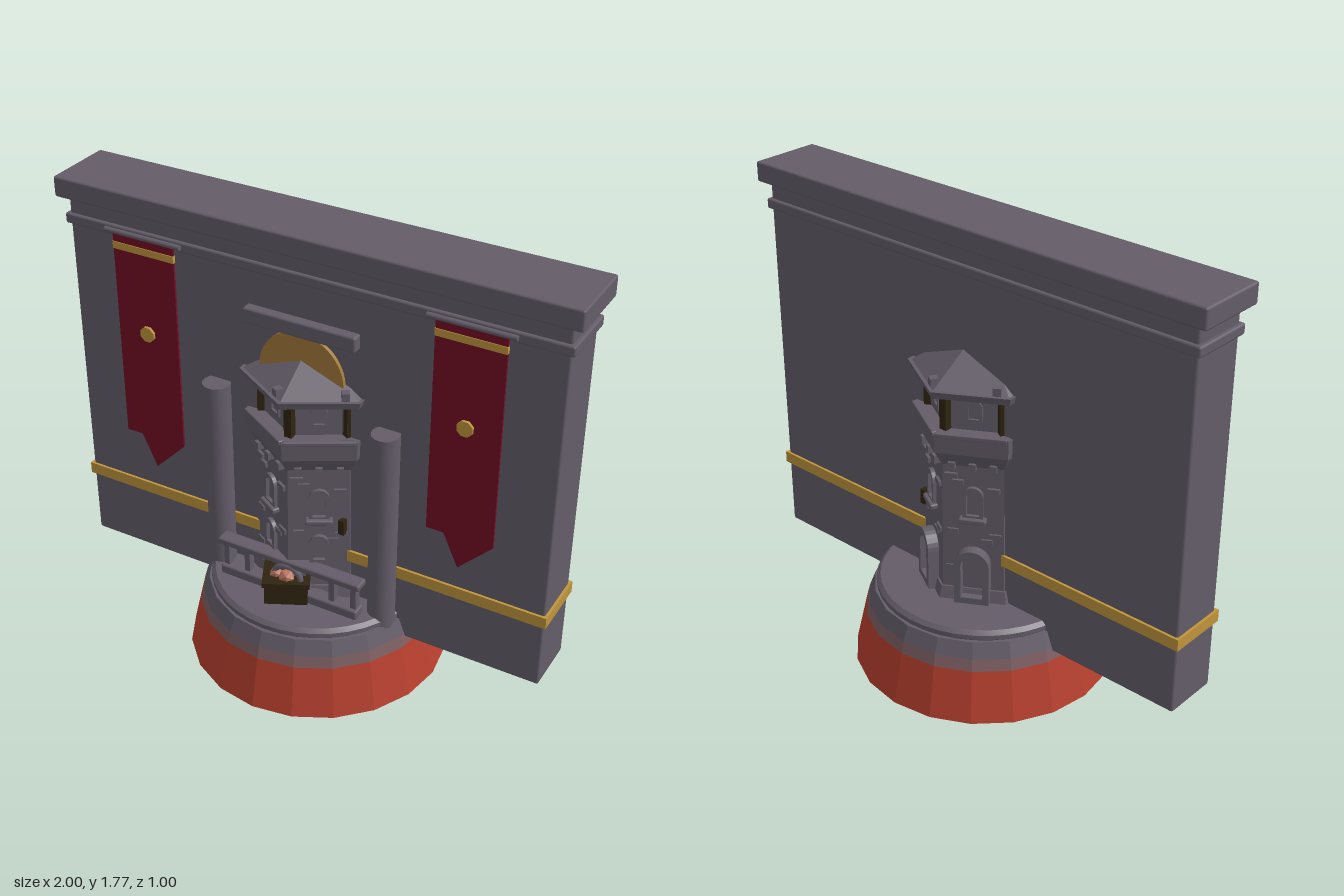
import * as THREE from 'three';
import { RoundedBoxGeometry } from 'three/addons/geometries/RoundedBoxGeometry.js';
import { toCreasedNormals } from 'three/addons/utils/BufferGeometryUtils.js';

const mat = (name, color, side = THREE.FrontSide) => {
  const m = new THREE.MeshStandardMaterial({ color, side });
  m.name = name;
  return m;
};

export function createModel() {
  const stone = mat('stone', 0x645d69);
  const red = mat('brick red', 0xb8402f);
  const blush = mat('dusty pink', 0x7d5f63);
  const gold = mat('gold', 0xc0953c);
  const oldGold = mat('old gold', 0xa37a3c);
  const crimson = mat('crimson', 0x730f26, THREE.DoubleSide);
  const brown = mat('dark wood', 0x2f2410);
  const ember = mat('ember', 0xb5705c);

  const model = new THREE.Group();
  const add = (name, geo, material, x = 0, y = 0, z = 0, parent = model) => {
    const m = new THREE.Mesh(geo, material);
    m.name = name;
    m.position.set(x, y, z);
    parent.add(m);
    return m;
  };
  const group = (name, parent = model) => {
    const g = new THREE.Group();
    g.name = name;
    parent.add(g);
    return g;
  };
  const box = (w, h, d) => new THREE.BoxGeometry(w, h, d);
  const soft = (w, h, d, r = 0.008) => new RoundedBoxGeometry(w, h, d, 1, r);
  const lathe = (pts, sides) =>
    toCreasedNormals(new THREE.LatheGeometry(pts.map(p => new THREE.Vector2(...p)), sides), 0.2);
  // Hexagonal drum with a corner toward the front
  const hex = (name, rTop, rBottom, y0, y1, parent) =>
    add(name, toCreasedNormals(new THREE.CylinderGeometry(rTop, rBottom, y1 - y0, 6), 0.2),
      stone, 0, (y0 + y1) / 2, 0, parent);

  // Hollow round base
  add('baseSkirt', lathe([[0.42, 0.27], [0.46, 0], [0.5, 0], [0.455, 0.2]], 20), red);
  add('baseBand', lathe([[0.455, 0.2], [0.443, 0.245]], 20), blush);
  add('baseShoulder', lathe([[0, 0.27], [0.42, 0.27], [0.443, 0.245], [0.42, 0.305], [0, 0.305]], 20), stone);
  add('platform', lathe([[0, 0.3], [0.4, 0.3], [0.41, 0.31], [0.41, 0.328], [0.395, 0.342], [0, 0.342]], 40), stone);

  // Wall with cornice and gold belt
  add('wall', soft(1.92, 1.48, 0.22), stone, 0, 0.97);
  add('wallMoulding', soft(1.95, 0.04, 0.245), stone, 0, 1.605);
  add('wallCap', soft(2, 0.078, 0.28), stone, 0, 1.727);
  add('wallBelt', box(1.94, 0.046, 0.24), gold, 0, 0.522);

  // Banners
  const cloth = new THREE.Shape([[-0.127, 0.6], [-0.127, -0.22], [-0.06, -0.22], [0, -0.35], [0.127, -0.22], [0.127, 0.6]]
    .map(p => new THREE.Vector2(...p)));
  for (const x of [-0.632, 0.632]) {
    const b = group('banner');
    b.position.set(x, 1, 0);
    add('bannerCloth', new THREE.ExtrudeGeometry(cloth, { depth: 0.009, bevelEnabled: false }), crimson, 0, 0, 0.126, b);
    add('bannerStripe', box(0.256, 0.027, 0.014), gold, 0, 0.558, 0.131, b);
    const rod = add('bannerRod', new THREE.CylinderGeometry(0.01, 0.01, 0.315, 10), stone, 0, 0.612, 0.136, b);
    rod.rotation.z = Math.PI / 2;
    const badge = add('bannerBadge', new THREE.CylinderGeometry(0.031, 0.031, 0.014, 8), gold, 0, 0.23, 0.139, b);
    badge.rotation.set(Math.PI / 2, Math.PI / 8, 0);
  }

  // Gold half disc and lintel above the tower
  const disc = new THREE.Shape().absarc(0, 0, 0.168, 0, Math.PI);
  add('haloDisc', new THREE.ExtrudeGeometry(disc, { depth: 0.02, bevelEnabled: false, curveSegments: 10 }), oldGold, 0, 1.235, 0.105);
  add('lintel', soft(0.442, 0.06, 0.05), stone, 0, 1.425, 0.122);

  // Front pillars
  for (const x of [-0.342, 0.342])
    add('pillar', new THREE.CylinderGeometry(0.052, 0.052, 1.09, 16), stone, x, 0.57, 0.14);

  // Hexagonal tower through the wall
  const tower = group('tower');
  hex('towerFoot', 0.238, 0.25, 0.34, 0.39, tower);
  hex('towerBody', 0.222, 0.23, 0.39, 0.95, tower);
  hex('parapetCorbel', 0.262, 0.225, 0.9, 0.96, tower);
  hex('parapet', 0.265, 0.262, 0.96, 1.035, tower);
  hex('lookoutRoom', 0.2, 0.2, 1.035, 1.18, tower);
  hex('eave', 0.28, 0.272, 1.178, 1.205, tower);
  hex('roof', 0.001, 0.265, 1.205, 1.378, tower);

  // Round-headed frame, standing on y = 0
  const archShape = (w, h) => {
    const s = new THREE.Shape();
    s.moveTo(-w / 2, 0);
    s.lineTo(w / 2, 0);
    s.lineTo(w / 2, h - w / 2);
    s.absarc(0, h - w / 2, w / 2, 0, Math.PI);
    s.lineTo(-w / 2, 0);
    return s;
  };
  const arch = (w, h, t, depth) => {
    const s = archShape(w, h);
    s.holes.push(new THREE.Path(archShape(w - 2 * t, h - 2 * t).getPoints(6).map(p => p.add(new THREE.Vector2(0, t)))));
    return new THREE.ExtrudeGeometry(s, { depth, bevelEnabled: false, curveSegments: 6 });
  };

  // Details on the four exposed tower faces
  for (const deg of [30, -30, 150, -150]) {
    const f = group('towerFace', tower);
    f.rotation.y = THREE.MathUtils.degToRad(deg);
    add('middleWindow', arch(0.075, 0.13, 0.014, 0.022), stone, 0, 0.69, 0.187, f);
    add('windowSill', soft(0.1, 0.022, 0.04, 0.006), stone, 0, 0.685, 0.203, f);
    add('upperWindow', arch(0.06, 0.085, 0.011, 0.016), stone, 0, 1.07, 0.166, f);
    if (Math.abs(deg) > 90) add('doorArch', arch(0.13, 0.225, 0.025, 0.05), stone, 0, 0.345, 0.19, f);
    else add('lowerWindow', arch(0.07, 0.12, 0.014, 0.022), stone, 0, 0.5, 0.19, f);
    // Raised bricks
    for (const [x, y, w] of [[-0.08, 0.86, 0.045], [-0.055, 0.835, 0.04], [0.075, 0.81, 0.045], [0.08, 0.62, 0.045],
      [0.05, 0.595, 0.04], [-0.075, 0.63, 0.04], [-0.08, 0.475, 0.04]])
      add('brick', box(w, 0.02, 0.02), stone, x, y, 0.194, f);
    // Parapet trim and corbels
    add('parapetRim', soft(0.255, 0.018, 0.02, 0.004), stone, 0, 1.033, 0.226, f);
    for (const x of [-0.075, 0, 0.075]) add('corbel', box(0.025, 0.03, 0.04), stone, x, 0.905, 0.197, f);
    add('roofPost', box(0.03, 0.04, 0.03), stone, 0.09, 1.215, 0.215, f);
  }
  // Wooden corner posts of the lookout
  for (let i = 0; i < 6; i++) {
    const a = i * Math.PI / 3;
    const p = add('lookoutPost', box(0.03, 0.145, 0.03), brown, Math.sin(a) * 0.205, 1.107, Math.cos(a) * 0.205, tower);
    p.rotation.y = a;
  }
  // Small hanging lanterns
  for (const z of [0.135, -0.135]) add('lantern', box(0.022, 0.06, 0.025), brown, 0.175, 0.66, z, tower);

  // Balustrade in front
  const rail = group('balustrade');
  add('topRail', soft(0.6, 0.028, 0.06), stone, 0, 0.488, 0.21, rail);
  add('bottomRail', soft(0.58, 0.04, 0.06), stone, 0, 0.36, 0.21, rail);
  for (const x of [-0.27, -0.18, 0.18, 0.27]) add('baluster', box(0.022, 0.11, 0.03), stone, x, 0.425, 0.21, rail);

  // Crate of embers
  const crate = group('crate');
  crate.position.set(-0.01, 0.342, 0.22);
  crate.rotation.y = 0.46;
  add('crateBox', box(0.16, 0.085, 0.15), brown, 0, 0.045, 0, crate);
  for (const s of [-1, 1]) {
    add('crateRim', box(0.176, 0.02, 0.016), brown, 0, 0.092, s * 0.075, crate);
    add('crateRim', box(0.016, 0.02, 0.166), brown, s * 0.08, 0.092, 0, crate);
  }
  for (const [x, z, r] of [[0, 0.02, 0.032], [0.04, -0.02, 0.028], [-0.04, 0, 0.026]])
    add('emberLump', new THREE.IcosahedronGeometry(r, 0), ember, x, 0.09, z, crate);
  const ring = add('hearthArch', new THREE.TorusGeometry(0.055, 0.012, 6, 12, Math.PI), stone, 0, 0.425, 0.235);
  ring.rotation.y = 0.1;

  return model;
}
